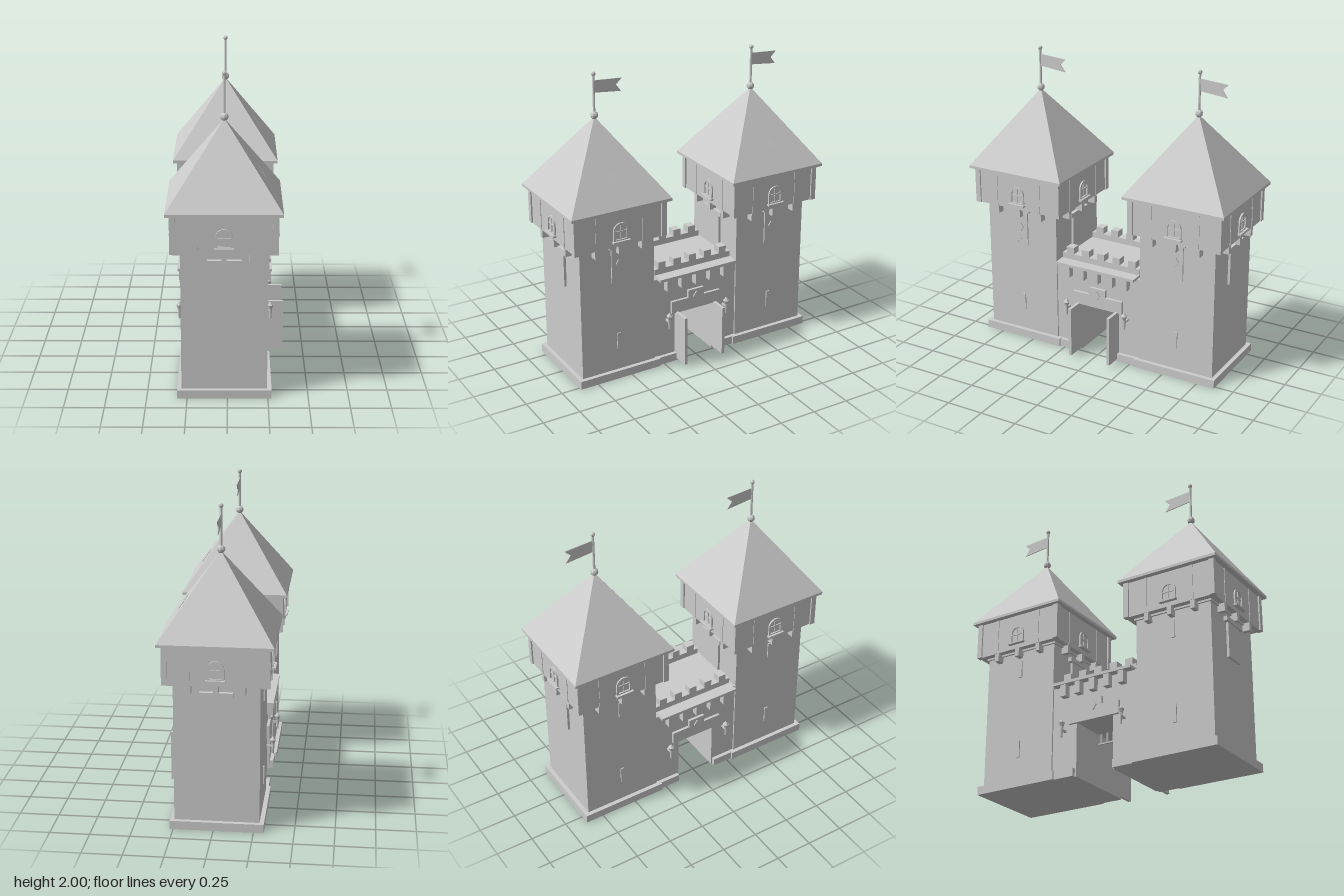
import * as THREE from 'three';
import { ConvexGeometry } from 'three/addons/geometries/ConvexGeometry.js';

const stone = new THREE.MeshStandardMaterial({ color: 0xcccccc });
stone.name = 'pale stone';

// Adds a faceted mesh
function add(parent, name, geometry, x = 0, y = 0, z = 0) {
  const g = geometry.index ? geometry.toNonIndexed() : geometry;
  g.computeVertexNormals();
  const mesh = new THREE.Mesh(g, stone);
  mesh.name = name;
  mesh.position.set(x, y, z);
  parent.add(mesh);
  return mesh;
}

// Box given by its ranges on each axis
function box(parent, name, x0, x1, y0, y1, z0, z1) {
  return add(parent, name, new THREE.BoxGeometry(x1 - x0, y1 - y0, z1 - z0),
    (x0 + x1) / 2, (y0 + y1) / 2, (z0 + z1) / 2);
}

function plate(points, depth) {
  const shape = new THREE.Shape(points.map(([x, y]) => new THREE.Vector2(x, y)));
  return new THREE.ExtrudeGeometry(shape, { depth, bevelEnabled: false });
}

function archPath(Type, r, y0, y1) {
  const p = new Type();
  p.moveTo(-r, y0);
  p.lineTo(r, y0);
  p.lineTo(r, y1);
  p.absarc(0, y1, r, 0, Math.PI, false);
  p.lineTo(-r, y0);
  return p;
}

// Arched window, facing +z from the wall at depth d
function archedWindow(parent, d) {
  const frame = archPath(THREE.Shape, 0.053, 0.995, 1.062);
  frame.holes.push(archPath(THREE.Path, 0.04, 1.005, 1.062));
  add(parent, 'windowFrame',
    new THREE.ExtrudeGeometry(frame, { depth: 0.01, bevelEnabled: false, curveSegments: 10 }), 0, 0, d);
  box(parent, 'mullion', -0.004, 0.004, 1.005, 1.102, d, d + 0.006);
  box(parent, 'transom', -0.04, 0.04, 1.052, 1.06, d, d + 0.006);
  box(parent, 'sill', -0.06, 0.06, 0.985, 0.997, d, d + 0.025);
}

function slit(parent, y, d) {
  box(parent, 'arrowSlit', -0.0125, 0.0125, y - 0.058, y + 0.058, d, d + 0.008);
}

function createTower(z) {
  const t = new THREE.Group();
  t.name = 'tower';
  t.position.set(-0.02, 0, z);
  const body = 0.265, wall = 0.316, post = 0.326;

  box(t, 'plinth', -0.293, 0.293, 0, 0.055, -0.293, 0.293);
  box(t, 'body', -body, body, 0.055, 0.955, -body, body);
  box(t, 'upperStorey', -wall, wall, 0.955, 1.2, -wall, wall);
  box(t, 'eave', -0.352, 0.352, 1.197, 1.215, -0.352, 0.352);
  add(t, 'roof', new THREE.ConeGeometry(0.352 * Math.SQRT2, 0.495, 4).rotateY(Math.PI / 4), 0, 1.4625, 0);

  // Four sides: front, left, back, right
  for (let i = 0; i < 4; i++) {
    const s = new THREE.Group();
    s.name = 'towerSide';
    s.rotation.y = i * Math.PI / 2;
    t.add(s);
    box(s, 'cornerPost', post - 0.036, post, 0.955, 1.2, post - 0.036, post);
    for (const x of [-0.165, 0, 0.165]) {
      box(s, 'corbel', x - 0.015, x + 0.015, 0.9, 0.955, body, wall);
      if (x) box(s, 'wallStrip', x - 0.009, x + 0.009, 0.955, 1.2, wall, wall + 0.004);
    }
    box(s, 'ledge', -body - 0.01, body + 0.01, 0.942, 0.956, body, body + 0.012);
    archedWindow(s, wall);

    if (i % 2 === 0) {
      // Square hanging banner on its rail
      box(s, 'bannerRail', -0.103, 0.103, 0.875, 0.905, body, body + 0.026);
      box(s, 'banner', -0.073, 0.073, 0.64, 0.88, body, body + 0.016);
    } else {
      slit(s, 0.262, body);
      if (i === 3) slit(s, 0.82, body);
      else {
        // Swallow-tailed banner with a diamond emblem
        box(s, 'bannerRail', -0.062, 0.062, 0.925, 0.94, body, body + 0.02);
        add(s, 'banner', plate([[-0.047, 0.935], [-0.047, 0.69], [0, 0.735], [0.047, 0.69], [0.047, 0.935]], 0.01),
          0, 0, body + 0.003);
        add(s, 'emblem', plate([[-0.018, 0.82], [0, 0.79], [0.018, 0.82], [0, 0.85]], 0.008), 0, 0, body + 0.013);
      }
    }
  }

  // Small triangular roof vent
  const v = (x, y, zz) => new THREE.Vector3(x, y, zz);
  add(t, 'roofVent', new ConvexGeometry([
    v(0.2, 1.432, 0), v(0.252, 1.36, 0.065), v(0.252, 1.36, -0.065), v(0.22, 1.35, 0)]));

  // Finial, pole and pennant
  add(t, 'finial', new THREE.SphereGeometry(0.026, 8, 6), 0, 1.72, 0);
  add(t, 'flagPole', new THREE.CylinderGeometry(0.008, 0.008, 0.27, 8), 0, 1.845, 0);
  add(t, 'poleKnob', new THREE.SphereGeometry(0.015, 8, 6), 0, 1.985, 0);
  const flag = plate([[0, 1.865], [0.19, 1.845], [0.155, 1.892], [0.195, 1.93], [0, 1.943]], 0.006);
  add(t, 'flag', flag.translate(0, 0, -0.003).rotateY(Math.PI / 2));
  return t;
}

function createTorch(x, z, out) {
  const g = new THREE.Group();
  g.name = 'torch';
  g.position.set(x, 0, z);
  add(g, 'handle', new THREE.CylinderGeometry(0.012, 0.007, 0.075, 8), 0, 0.3, 0);
  add(g, 'cup', new THREE.CylinderGeometry(0.021, 0.012, 0.025, 8), 0, 0.345, 0);
  add(g, 'flame', new THREE.ConeGeometry(0.019, 0.026, 8), 0, 0.37, 0);
  box(g, 'bracket', -0.025, 0.025, 0.305, 0.318, -0.006, 0.006).position.x = -0.02 * out;
  return g;
}

function createGatehouse() {
  const g = new THREE.Group();
  g.name = 'gatehouse';
  g.position.x = -0.02;
  const half = 0.255;

  for (const s of [-1, 1]) {
    const a = Math.min(s * 0.135, s * 0.33), b = Math.max(s * 0.135, s * 0.33);
    box(g, 'gatePier', -half, half, 0, 0.62, a, b);
    box(g, 'gatePlinth', -0.28, 0.28, 0, 0.053, s > 0 ? 0.145 : -0.3, s > 0 ? 0.3 : -0.145);
    // Open door leaf
    box(g, 'doorLeaf', 0.24, 0.386, 0.015, 0.357, s * 0.145 - 0.01, s * 0.145 + 0.01);
  }
  box(g, 'gateHeader', -half, half, 0.355, 0.62, -0.135, 0.135);
  box(g, 'walkway', -0.307, 0.307, 0.618, 0.637, -0.29, 0.29);

  // Portcullis
  for (let i = 0; i < 6; i++) {
    const z = -0.115 + i * 0.046;
    box(g, 'portcullisBar', -0.007, 0.007, 0.285, 0.36, z - 0.005, z + 0.005);
  }
  box(g, 'portcullisRail', -0.006, 0.006, 0.285, 0.294, -0.135, 0.135);

  // Both faces: battlements, corbels, stepped surround and torches
  for (const s of [-1, 1]) {
    const px = s * 0.195;
    box(g, 'parapet', px - 0.03, px + 0.03, 0.635, 0.677, -0.29, 0.29);
    for (let i = -2; i <= 2; i++) {
      const z = i * 0.116;
      box(g, 'merlon', px - 0.03, px + 0.03, 0.675, 0.722, z - 0.0275, z + 0.0275);
    }
    const side = new THREE.Group();
    side.name = 'gateFace';
    side.rotation.y = s * Math.PI / 2;
    g.add(side);
    for (let i = -2; i <= 2; i++) {
      box(side, 'corbel', i * 0.108 - 0.02, i * 0.108 + 0.02, 0.538, 0.62, half, 0.3);
    }
    add(side, 'gateSurround', plate([[-0.185, 0.35], [0.185, 0.35], [0.185, 0.437], [0.06, 0.437],
      [0.06, 0.49], [-0.06, 0.49], [-0.06, 0.437], [-0.185, 0.437]], 0.018), 0, 0, half);
    add(side, 'crest', plate([[-0.025, 0.44], [0, 0.405], [0.025, 0.44], [0, 0.475]], 0.008), 0, 0, half + 0.018);
    for (const z of [-0.22, 0.22]) g.add(createTorch(s * 0.3, z, s));
  }
  return g;
}

export function createModel() {
  const model = new THREE.Group();
  model.name = 'twinTowerGate';
  model.add(createTower(0.58), createTower(-0.58), createGatehouse());
  return model;
}
